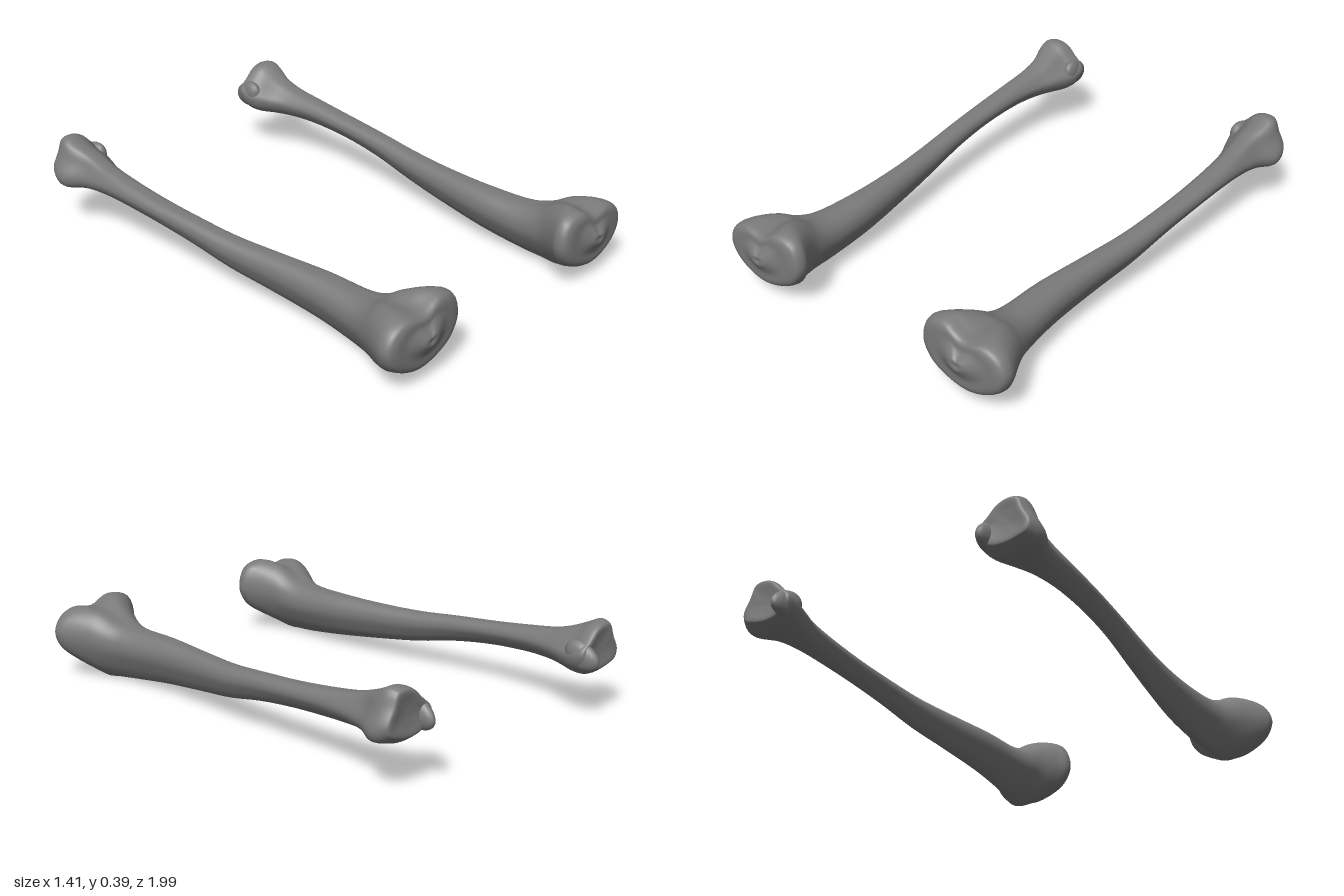
import * as THREE from 'three';

const material = new THREE.MeshStandardMaterial({ color: 0x7a7a7a });

// Outlines inside a unit box, counter-clockwise from the outer side
const plateau = [[1, .07], [.85, .55], [.5, .8], [0, .72], [-.42, 1], [-.85, .8],
  [-1, .1], [-.82, -.48], [-.45, -.83], [.06, -1], [.49, -.85], [.87, -.45]];
const shaft = [[1, .2], [.9, .65], [.5, .95], [0, 1], [-.5, .95], [-.9, .65],
  [-1, .2], [-.75, -.3], [-.4, -.72], [.12, -1], [.48, -.72], [.78, -.3]];
const ankle = [[1, -.3], [.74, .35], [.54, .9], [.2, 1], [-.22, .85], [-.6, .42],
  [-1, -.05], [-.9, -.55], [-.5, -.9], [0, -1], [.5, -.9], [.9, -.7]];

// z, xMin, xMax, yMin, yMax, plateau weight, ankle weight
const sections = [
  [.95, .322, .698, .065, .315, 1, 0],
  [.915, .315, .705, .05, .325, 1, 0],
  [.87, .345, .685, .027, .325, .85, 0],
  [.80, .385, .645, .004, .30, .4, 0],
  [.74, .40, .615, .01, .262, .15, 0],
  [.66, .41, .585, .018, .238, 0, 0],
  [.45, .42, .56, .045, .235, 0, 0],
  [.20, .453, .563, .078, .235, 0, 0],
  [0, .48, .58, .107, .24, 0, 0],
  [-.20, .50, .593, .148, .258, 0, 0],
  [-.40, .507, .605, .175, .275, 0, 0],
  [-.60, .50, .612, .187, .30, 0, .2],
  [-.72, .48, .618, .187, .32, 0, .5],
  [-.80, .452, .632, .184, .345, 0, .8],
  [-.87, .43, .665, .175, .375, 0, 1],
  [-.91, .422, .667, .178, .393, 0, 1],
  [-.945, .425, .652, .20, .387, 0, 1],
];
// Joint surfaces: ring scale and z
const kneeCap = [[0, .988], [.15, .992], [.3, .982], [.55, .967], [.85, .963]];
const ankleCap = [[.9, -.955], [.5, -.951], [.2, -.948], [0, -.948]];

const AROUND = 48;
const STEPS = 4;

// One cross-section, optionally shrunk towards its centre
function ring([z, x0, x1, y0, y1, p, d], scale = 1, zAt = z) {
  const points = shaft.map((s, i) => {
    const at = k => s[k] * (1 - p - d) + plateau[i][k] * p + ankle[i][k] * d;
    return new THREE.Vector3(
      (x0 + x1) / 2 + at(0) * scale * (x1 - x0) / 2,
      (y0 + y1) / 2 + at(1) * scale * (y1 - y0) / 2, zAt);
  });
  const curve = new THREE.CatmullRomCurve3(points, true);
  return Array.from({ length: AROUND }, (_, i) => curve.getPoint(i / AROUND));
}

// Mirror to the chosen side, keeping faces outward
function mirrored(geometry, side) {
  if (side < 0) {
    geometry.scale(-1, 1, 1);
    const a = geometry.index.array;
    for (let i = 0; i < a.length; i += 3) [a[i], a[i + 1]] = [a[i + 1], a[i]];
  }
  geometry.computeVertexNormals();
  return geometry;
}

// Skin running through all the cross-sections
function boneGeometry() {
  const last = sections[sections.length - 1];
  const rings = [
    ...kneeCap.map(([s, z]) => ring(sections[0], s, z)),
    ...sections.map(s => ring(s)),
    ...ankleCap.map(([s, z]) => ring(last, s, z)),
  ];
  const rows = (rings.length - 1) * STEPS;
  const positions = [], index = [];
  const columns = Array.from({ length: AROUND }, (_, i) =>
    new THREE.CatmullRomCurve3(rings.map(r => r[i])));
  for (let r = 0; r <= rows; r++) {
    for (const c of columns) positions.push(...c.getPoint(r / rows).toArray());
  }
  for (let r = 0; r < rows; r++) {
    for (let i = 0; i < AROUND; i++) {
      const j = (i + 1) % AROUND;
      const a = r * AROUND + i, b = r * AROUND + j;
      index.push(a, a + AROUND, b, b, a + AROUND, b + AROUND);
    }
  }
  const geometry = new THREE.BufferGeometry();
  geometry.setAttribute('position', new THREE.Float32BufferAttribute(positions, 3));
  geometry.setIndex(index);
  return geometry;
}

// Inner ankle knob, tapering and dropping towards its tip
function knobGeometry() {
  const geometry = new THREE.SphereGeometry(1, 20, 14);
  const p = geometry.attributes.position;
  for (let i = 0; i < p.count; i++) {
    const z = p.getZ(i);
    const taper = 1 + 0.15 * z;
    p.setXYZ(i, .459 + p.getX(i) * .033 * taper - z * .006,
      .268 + p.getY(i) * .058 * taper + z * .015, -.925 + z * .075);
  }
  return geometry;
}

export function createModel() {
  const model = new THREE.Group();
  model.name = 'shinBones';
  for (const [name, side] of [['left', 1], ['right', -1]]) {
    const bone = new THREE.Group();
    bone.name = name + 'ShinBone';
    const body = new THREE.Mesh(mirrored(boneGeometry(), side), material);
    body.name = name + 'BoneShaft';
    const knob = new THREE.Mesh(mirrored(knobGeometry(), side), material);
    knob.name = name + 'AnkleKnob';
    bone.add(body, knob);
    model.add(bone);
  }
  return model;
}
